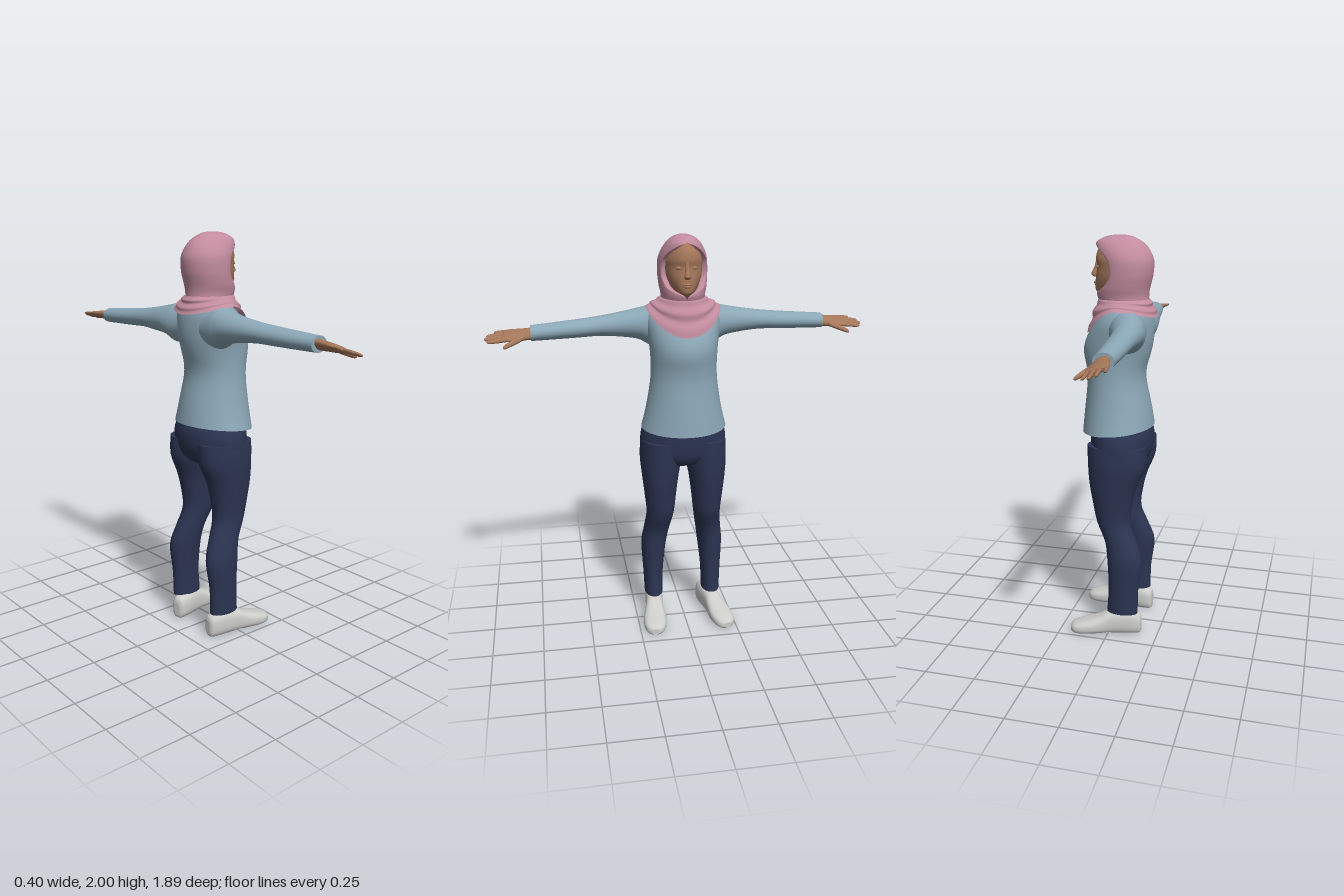
import * as THREE from 'three';

const mat = (name, color, side = THREE.FrontSide) => {
  const m = new THREE.MeshStandardMaterial({ color, side });
  m.name = name;
  return m;
};

// Catmull-Rom resampling of a table of cross-sections, k steps per span
function resample(rows, k) {
  const out = [], last = rows.length - 1;
  for (let i = 0; i < last; i++) {
    const a = rows[Math.max(i - 1, 0)], b = rows[i], c = rows[i + 1], d = rows[Math.min(i + 2, last)];
    for (let s = 0; s < k; s++) {
      const t = s / k;
      out.push(b.map((v, j) => 0.5 * (2 * v + (c[j] - a[j]) * t + (2 * a[j] - 5 * v + 4 * c[j] - d[j]) * t * t
        + (3 * v - a[j] - 3 * c[j] + d[j]) * t * t * t)));
    }
  }
  out.push(rows[last]);
  return out;
}

// Skin a list of point rings; faces are turned outward by the sign of the volume
function skin(rings, closed = true, capStart = false, capEnd = false) {
  const n = rings[0].length, pts = rings.flat(), tris = [];
  for (let r = 0; r < rings.length - 1; r++) {
    for (let i = 0; i < (closed ? n : n - 1); i++) {
      const j = (i + 1) % n, a = r * n + i, b = r * n + j, c = a + n, d = b + n;
      tris.push([a, c, b], [b, c, d]);
    }
  }
  const cap = (ring, flip) => {
    const base = pts.length;
    pts.push(...ring.map(p => p.clone()));
    const mid = new THREE.Vector3();
    ring.forEach(p => mid.addScaledVector(p, 1 / n));
    pts.push(mid);
    for (let i = 0; i < n; i++) {
      const a = base + i, b = base + (i + 1) % n;
      tris.push(flip ? [base + n, a, b] : [base + n, b, a]);
    }
  };
  if (capStart) cap(rings[0], true);
  if (capEnd) cap(rings[rings.length - 1], false);
  const centre = new THREE.Vector3();
  pts.forEach(p => centre.addScaledVector(p, 1 / pts.length));
  let volume = 0;
  const [A, B, C] = [0, 1, 2].map(() => new THREE.Vector3());
  for (const t of tris) {
    A.subVectors(pts[t[0]], centre); B.subVectors(pts[t[1]], centre); C.subVectors(pts[t[2]], centre);
    volume += A.dot(B.cross(C));
  }
  const g = new THREE.BufferGeometry().setFromPoints(pts);
  g.setIndex(tris.flatMap(t => volume < 0 ? [t[0], t[2], t[1]] : t));
  g.computeVertexNormals();
  return g;
}

// Loft of (super)ellipses; each row is [t, centreA, centreB, radiusA, radiusB]
function loft(rows, place, { n = 32, k = 4, pow = 1, start = true, end = true } = {}) {
  const se = v => Math.sign(v) * Math.abs(v) ** pow;
  const rings = resample(rows, k).map(([t, ca, cb, ra, rb]) => Array.from({ length: n }, (_, i) => {
    const w = i / n * Math.PI * 2;
    return place(t, ca + ra * se(Math.cos(w)), cb + rb * se(Math.sin(w)));
  }));
  return skin(rings, true, start, end);
}

const V = (x, y, z) => new THREE.Vector3(x, y, z);
const upright = (t, a, b) => V(a, t, b);
// [y, back x, front x, half width] to a loft row
const body = ([y, back, front, w]) => [y, (back + front) / 2, 0, (front - back) / 2, w];

export function createModel() {
  const group = new THREE.Group();
  const pink = mat('scarf pink', 0xc28c9e, THREE.DoubleSide);
  const blue = mat('shirt blue', 0x8ba7b6, THREE.DoubleSide);
  const navy = mat('trouser navy', 0x2c3553);
  const skinTone = mat('skin brown', 0xa5775a);
  const white = mat('shoe off-white', 0xcdcdca);
  const add = (name, geometry, material) => {
    const m = new THREE.Mesh(geometry, material);
    m.name = name;
    group.add(m);
    return m;
  };

  // Shirt body, with a hem that rises at the back
  add('shirtBody', loft([
    [1.05, -0.188, 0.165, 0.212], [1.12, -0.18, 0.159, 0.196], [1.2, -0.168, 0.151, 0.181],
    [1.3, -0.147, 0.142, 0.166], [1.37, -0.148, 0.146, 0.162], [1.45, -0.17, 0.16, 0.165],
    [1.52, -0.182, 0.143, 0.174], [1.6, -0.18, 0.096, 0.182], [1.65, -0.165, 0.05, 0.16], [1.69, -0.13, 0, 0.1],
  ].map(body), (y, x, z) => V(x, y + 0.016 * (1 - x / 0.17) * THREE.MathUtils.clamp((1.2 - y) / 0.15, 0, 1), z),
  { n: 48, start: false }), blue);

  // Hips
  add('trouserHips', loft([
    [1.11, -0.165, 0.13, 0.185], [1.05, -0.185, 0.125, 0.209], [0.98, -0.184, 0.121, 0.217],
    [0.92, -0.165, 0.108, 0.2], [0.88, -0.12, 0.08, 0.13], [0.865, -0.08, 0.04, 0.06],
  ].map(body), upright, { n: 40 }), navy);

  for (const s of [1, -1]) {
    const side = s > 0 ? 'left' : 'right';
    const sweep = z => s > 0 ? 0 : -0.1 * THREE.MathUtils.clamp((z - 0.1) / 0.63, 0, 1);

    // Trouser leg
    add(side + 'TrouserLeg', loft([
      [1.0, -0.03, 0.112, 0.148, 0.103], [0.9, -0.03, 0.115, 0.145, 0.105], [0.8, -0.014, 0.12, 0.121, 0.092],
      [0.7, -0.01, 0.121, 0.1, 0.08], [0.6, -0.016, 0.122, 0.085, 0.07], [0.5, -0.056, 0.136, 0.081, 0.066],
      [0.4, -0.08, 0.15, 0.089, 0.064], [0.25, -0.075, 0.155, 0.077, 0.052], [0.12, -0.07, 0.154, 0.08, 0.047],
    ], (y, x, z) => V(x, y, z * s)), navy);

    // Shoe with a flat sole, rows run from heel to toe
    const shoe = add(side + 'Shoe', loft([
      [-0.095, 0, 0.055, 0.016, 0.035], [-0.085, 0, 0.06, 0.034, 0.055], [-0.05, 0, 0.066, 0.044, 0.064],
      [0.0, 0, 0.068, 0.046, 0.066], [0.07, 0, 0.062, 0.046, 0.06], [0.12, 0, 0.05, 0.053, 0.048],
      [0.17, 0, 0.041, 0.059, 0.039], [0.22, 0, 0.034, 0.056, 0.032], [0.255, 0, 0.029, 0.041, 0.025],
      [0.27, 0, 0.026, 0.018, 0.015],
    ], (x, z, y) => V(x, Math.max(y, 0.006) - 0.006 + (x > 0.03 && x < 0.1 && y < 0.01 ? 0.006 : 0), z),
    { pow: 0.75 }), white);
    shoe.position.set(-0.07, 0, s > 0 ? 0.152 : -0.142);
    shoe.rotation.y = s > 0 ? -0.1 : 0.22;

    // Sleeve, swept slightly backward on the right
    add(side + 'Sleeve', loft([
      [0.07, -0.08, 1.56, 0.085, 0.09], [0.15, -0.08, 1.563, 0.09, 0.098], [0.18, -0.082, 1.567, 0.087, 0.088],
      [0.22, -0.085, 1.572, 0.08, 0.074], [0.3, -0.085, 1.57, 0.066, 0.06], [0.4, -0.075, 1.567, 0.059, 0.048],
      [0.5, -0.062, 1.561, 0.056, 0.044], [0.6, -0.05, 1.556, 0.052, 0.041], [0.73, -0.033, 1.55, 0.047, 0.037],
    ], (z, x, y) => V(x + sweep(z), y, z * s)), blue);

    // Hand: palm, fingers and thumb, tilted with the thumb side lower
    const cx = s > 0 ? -0.028 : -0.128;
    const hand = (z, a, b) => V(cx + a - (s > 0 ? 0 : 0.07 * (z - 0.72)), 1.549 + b - 0.3 * a - 0.06 * (z - 0.72), z * s);
    add(side + 'Palm', loft([
      [0.7, 0, 0, 0.034, 0.026], [0.74, 0, 0, 0.034, 0.024], [0.78, 0.002, 0, 0.044, 0.021],
      [0.82, 0, 0, 0.05, 0.018], [0.85, -0.001, 0, 0.048, 0.014], [0.862, -0.001, 0, 0.042, 0.008],
    ], hand, { n: 24 }), skinTone);
    const digits = [
      ['LittleFinger', -0.038, 0.83, -0.047, 0.9, 0.0095], ['RingFinger', -0.014, 0.84, -0.016, 0.936, 0.011],
      ['MiddleFinger', 0.011, 0.84, 0.011, 0.946, 0.0115], ['IndexFinger', 0.036, 0.835, 0.039, 0.932, 0.011],
      ['Thumb', 0.028, 0.76, 0.087, 0.858, 0.0135],
    ];
    for (const [name, x0, z0, x1, z1, r] of digits) {
      const drop = name === 'Thumb' ? -0.012 : -0.003;
      add(side + name, loft([[0, 1], [0.5, 1], [0.85, 0.85], [0.97, 0.55], [1, 0.15]].map(([t, f]) =>
        [z0 + (z1 - z0) * t, x0 + (x1 - x0) * t, drop * t, r * f, r * f * 0.9]), hand, { n: 12, k: 2 }), skinTone);
    }
  }

  // Face and head under the scarf
  add('head', loft([
    [1.69, -0.08, 0.05, 0.03], [1.725, -0.1, 0.088, 0.038], [1.74, -0.11, 0.102, 0.052], [1.77, -0.12, 0.104, 0.07],
    [1.81, -0.13, 0.1, 0.085], [1.855, -0.13, 0.094, 0.089], [1.89, -0.13, 0.1, 0.087], [1.93, -0.12, 0.09, 0.072],
    [1.96, -0.09, 0.065, 0.045],
  ].map(body), upright, { n: 40 }), skinTone);
  add('nose', loft([
    [1.885, 0.094, 0, 0.006, 0.008], [1.845, 0.1, 0, 0.012, 0.01], [1.818, 0.108, 0, 0.018, 0.016],
    [1.806, 0.104, 0, 0.014, 0.014], [1.802, 0.1, 0, 0.006, 0.008],
  ], upright, { n: 16 }), skinTone);
  const bump = (name, x, y, z, sx, sy, sz) => {
    const m = add(name, new THREE.SphereGeometry(1, 16, 10), skinTone);
    m.position.set(x, y, z);
    m.scale.set(sx, sy, sz);
  };
  bump('upperLip', 0.102, 1.778, 0, 0.009, 0.006, 0.024);
  bump('lowerLip', 0.101, 1.768, 0, 0.009, 0.006, 0.02);
  for (const s of [1, -1]) bump('eyelid', 0.08, 1.853, 0.035 * s, 0.01, 0.009, 0.017);

  // Scarf hood: rows are [y, back, front, half width, half angle of the face opening]
  const hood = resample([
    [1.695, -0.157, 0.085, 0.105, 0], [1.722, -0.157, 0.095, 0.107, 0.1], [1.75, -0.16, 0.092, 0.113, 0.72],
    [1.78, -0.167, 0.085, 0.117, 0.98], [1.82, -0.176, 0.08, 0.12, 1.1], [1.88, -0.179, 0.084, 0.118, 1.05],
    [1.92, -0.165, 0.096, 0.106, 0.85], [1.95, -0.145, 0.1, 0.09, 0.45], [1.97, -0.122, 0.093, 0.074, 0],
    [1.988, -0.088, 0.06, 0.051, 0], [1.997, -0.06, 0.025, 0.028, 0], [2, -0.025, -0.015, 0.004, 0],
  ], 4).map(([y, back, front, w, open]) => {
    const a = Math.max(open, 0), mid = (back + front) / 2, r = (front - back) / 2, ring = [];
    for (let i = 0; i <= 48; i++) {
      const t = a + (2 * Math.PI - 2 * a) * i / 48;
      ring.push(V(mid + r * Math.cos(t), y, w * Math.sin(t)));
    }
    // Lip folded in toward the face
    const lip = p => V(p.x - 0.02 * Math.min(1, a), y, p.z * 0.76);
    return [lip(ring[0]), ...ring, lip(ring[48])];
  });
  add('scarfHood', skin(hood, false), pink);

  // Scarf drape from the neck to a bib-shaped hem, with soft folds
  const drape = Array.from({ length: 21 }, (_, j) => Array.from({ length: 64 }, (_, i) => {
    const t = j / 20, w = i / 64 * Math.PI * 2, c = Math.cos(w), s = Math.sin(w);
    const hem = 1.662 - 0.128 * Math.max(c, 0) ** 1.5 - 0.04 * Math.max(-c, 0) ** 2;
    const f = t ** 0.95, fold = 0.006 * Math.sin(t * 14 + 2 * c) * Math.sin(Math.PI * t);
    return V(-0.036 + 0.006 * f + (0.121 + 0.049 * f + fold) * c, 1.705 + (hem - 1.705) * t ** 1.15,
      (0.105 + 0.077 * f + fold) * s);
  }));
  add('scarfDrape', skin(drape), pink);

  return group;
}
